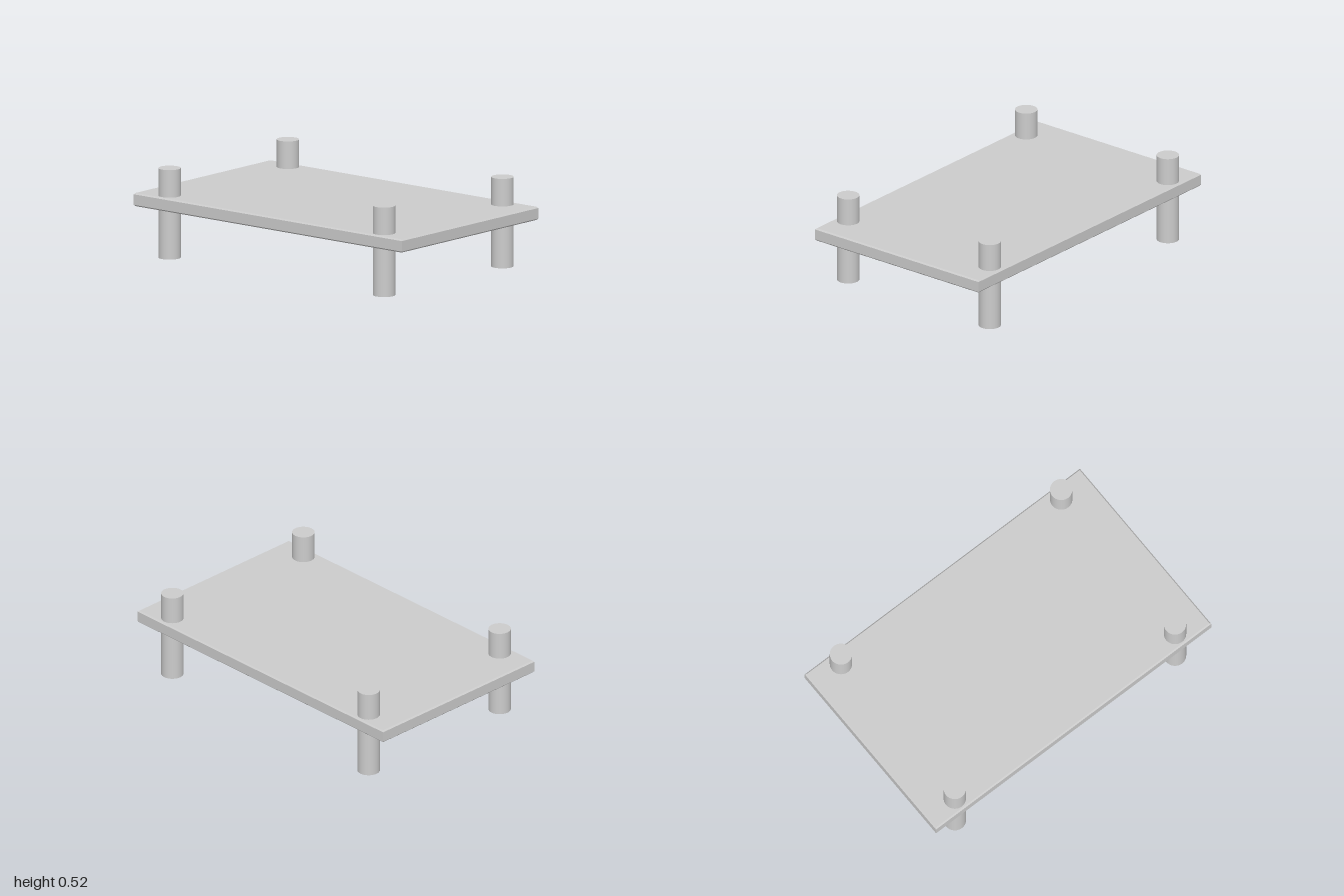
import * as THREE from 'three';

export function createModel() {
  const model = new THREE.Group();
  model.name = 'lowTable';
  const grey = new THREE.MeshStandardMaterial({ color: 0xcccccc });
  grey.name = 'light grey';

  // Flat slab with a narrow chamfer on every edge
  const bevel = 0.008, halfX = 0.6, halfZ = 1, bottom = 0.283, top = 0.36;
  const x = halfX - bevel, z = halfZ - bevel;
  const outline = new THREE.Shape([
    new THREE.Vector2(-x, -z), new THREE.Vector2(x, -z),
    new THREE.Vector2(x, z), new THREE.Vector2(-x, z),
  ]);
  const slabGeometry = new THREE.ExtrudeGeometry(outline, {
    depth: top - bottom - 2 * bevel,
    bevelEnabled: true, bevelSize: bevel, bevelThickness: bevel, bevelSegments: 1,
  });
  slabGeometry.rotateX(-Math.PI / 2).translate(0, bottom + bevel, 0);
  const slab = new THREE.Mesh(slabGeometry, grey);
  slab.name = 'slab';
  model.add(slab);

  // Round posts that pass through the slab near its corners
  const height = 0.52;
  const postGeometry = new THREE.CylinderGeometry(0.064, 0.064, height, 48);
  for (const [side, sx] of [['Left', 1], ['Right', -1]]) {
    for (const [end, sz] of [['front', 1], ['back', -1]]) {
      const post = new THREE.Mesh(postGeometry, grey);
      post.name = `${end}${side}Post`;
      post.position.set(sx * 0.52, height / 2, sz * 0.8);
      model.add(post);
    }
  }
  return model;
}
